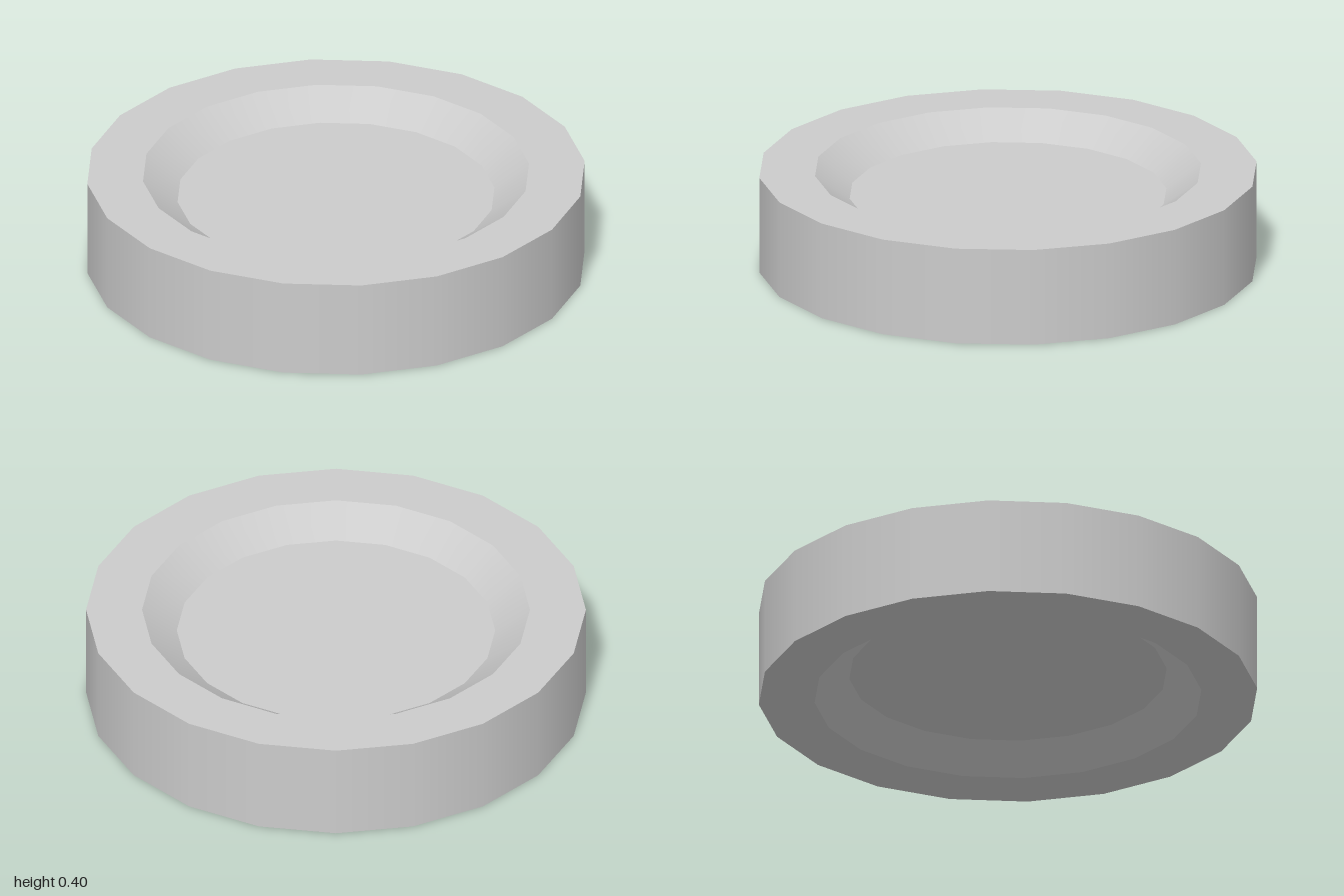
import * as THREE from 'three';

const SIDES = 20;
const HEIGHT = 0.4;
const RIM_RADIUS = 1;
const RECESS_RADIUS = 0.776;
const FLOOR_RADIUS = 0.637;
const RECESS_DEPTH = 0.1;

export function createModel() {
  const group = new THREE.Group();
  group.name = 'recessedDisc';
  const material = new THREE.MeshStandardMaterial({ color: 0xcccccc });

  // One revolved band between two profile points; separate bands keep the rings sharp
  const addBand = (name, [r0, y0], [r1, y1]) => {
    const profile = [new THREE.Vector2(r0, y0), new THREE.Vector2(r1, y1)];
    const mesh = new THREE.Mesh(new THREE.LatheGeometry(profile, SIDES), material);
    mesh.name = name;
    group.add(mesh);
  };

  // Flat floor of a recess, facing up or down
  const addFloor = (name, y, facing) => {
    const geometry = new THREE.CircleGeometry(FLOOR_RADIUS, SIDES);
    geometry.rotateX(-facing * Math.PI / 2);
    const mesh = new THREE.Mesh(geometry, material);
    mesh.name = name;
    mesh.position.y = y;
    group.add(mesh);
  };

  const top = HEIGHT - RECESS_DEPTH;

  // Underside: floor, sloping recess wall, flat rim
  addFloor('bottomFloor', RECESS_DEPTH, -1);
  addBand('bottomRecessWall', [FLOOR_RADIUS, RECESS_DEPTH], [RECESS_RADIUS, 0]);
  addBand('bottomRim', [RECESS_RADIUS, 0], [RIM_RADIUS, 0]);

  // Outer side wall
  addBand('outerWall', [RIM_RADIUS, 0], [RIM_RADIUS, HEIGHT]);

  // Top: flat rim, sloping recess wall, floor
  addBand('topRim', [RIM_RADIUS, HEIGHT], [RECESS_RADIUS, HEIGHT]);
  addBand('topRecessWall', [RECESS_RADIUS, HEIGHT], [FLOOR_RADIUS, top]);
  addFloor('topFloor', top, 1);

  return group;
}
